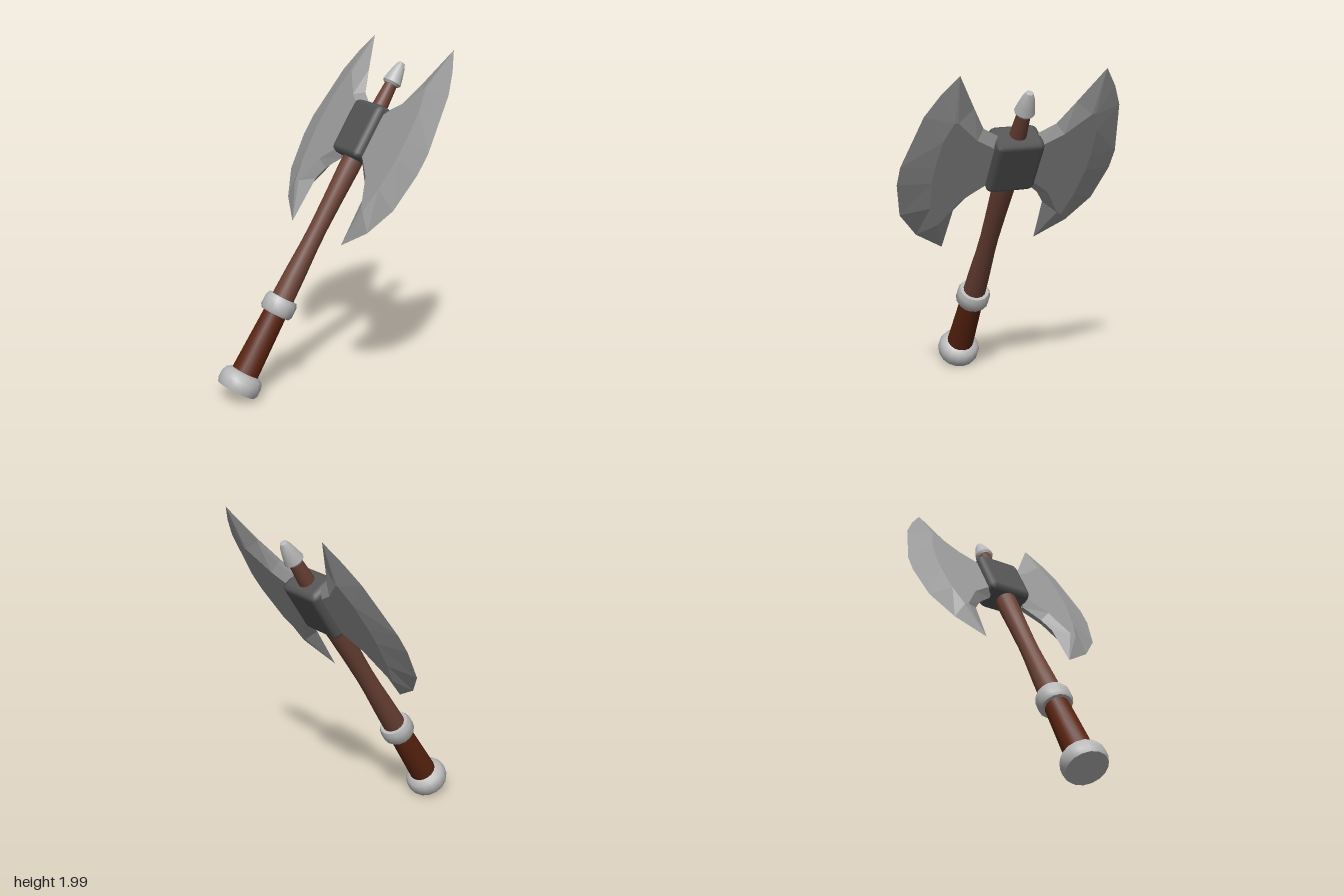
import * as THREE from 'three';
import { toCreasedNormals } from 'three/addons/utils/BufferGeometryUtils.js';
import { RoundedBoxGeometry } from 'three/addons/geometries/RoundedBoxGeometry.js';

const material = (color, flatShading = false) => new THREE.MeshStandardMaterial({ color, flatShading });

// Turned part: profile of [radius, height] from bottom to top
function turned(name, profile, mat) {
  const lathe = new THREE.LatheGeometry(profile.map(([r, h]) => new THREE.Vector2(r, h)), 16);
  const mesh = new THREE.Mesh(toCreasedNormals(lathe, 0.8), mat);
  mesh.name = name;
  return mesh;
}

// Blade stations from lower horn to upper horn, each as [z, height] of
// cutting edge, outer ridge, inner ridge, inner edge
const stations = [
  [[0.286, 1.014], [0.286, 1.014], [0.286, 1.014], [0.286, 1.014]],
  [[0.46, 1.137], [0.39, 1.23], [0.36, 1.25], [0.27, 1.304]],
  [[0.58, 1.304], [0.43, 1.38], [0.26, 1.42], [0.22, 1.385]],
  [[0.63, 1.533], [0.455, 1.57], [0.1, 1.55], [0.12, 1.475]],
  [[0.63, 1.66], [0.455, 1.68], [0.1, 1.76], [0.12, 1.836]],
  [[0.555, 1.998], [0.44, 1.86], [0.25, 1.85], [0.21, 1.892]],
  [[0.49, 2.13], [0.4, 1.98], [0.38, 1.98], [0.29, 2.035]],
  [[0.408, 2.252], [0.408, 2.252], [0.408, 2.252], [0.408, 2.252]],
];

function bladeGeometry() {
  const positions = [];
  const last = stations.length - 1;
  for (const side of [1, -1]) {
    const point = (k, j) => {
      const [z, y] = stations[k][j];
      const ridge = k > 0 && k < last && (j === 1 || j === 2);
      return new THREE.Vector3(ridge ? side * 0.045 : 0, y, z);
    };
    const triangle = (a, b, c) => {
      if (a.equals(b) || b.equals(c) || c.equals(a)) return;
      for (const p of side > 0 ? [a, b, c] : [a, c, b]) positions.push(p.x, p.y, p.z);
    };
    for (let k = 0; k < last; k++) {
      for (let j = 0; j < 3; j++) {
        const a = point(k, j), b = point(k + 1, j), c = point(k + 1, j + 1), d = point(k, j + 1);
        triangle(a, d, c);
        triangle(a, c, b);
      }
    }
  }
  const geometry = new THREE.BufferGeometry();
  geometry.setAttribute('position', new THREE.Float32BufferAttribute(positions, 3));
  geometry.computeVertexNormals();
  return geometry;
}

export function createModel() {
  const model = new THREE.Group();
  model.name = 'doubleAxe';

  // Upright axe, leaned over as a whole
  const axe = new THREE.Group();
  axe.name = 'leaningAxe';
  axe.position.set(-0.535, 0.065, 0);
  axe.rotation.z = -THREE.MathUtils.degToRad(31.2);
  model.add(axe);

  const metal = material(0xb8b8b8);
  const wood = material(0x6b4236);
  const leather = material(0x5a2410);

  // Handle
  axe.add(
    turned('pommel', [[0, 0], [0.118, 0], [0.128, 0.025], [0.128, 0.065], [0.115, 0.095], [0.085, 0.115], [0, 0.115]], metal),
    turned('grip', [[0.083, 0.09], [0.076, 0.3], [0.069, 0.52]], leather),
    turned('collar', [[0.06, 0.492], [0.088, 0.492], [0.1, 0.512], [0.1, 0.572], [0.088, 0.597], [0.06, 0.597]], metal),
    turned('shaft', [[0.069, 0.56], [0.063, 0.75], [0.055, 0.93], [0.053, 1.05], [0.057, 1.25], [0.063, 1.45],
      [0.06, 1.6], [0.049, 1.8], [0.036, 2.0]], wood),
    turned('topSpike', [[0, 1.975], [0.045, 1.975], [0.056, 1.99], [0.047, 2.03], [0.033, 2.085], [0.02, 2.115], [0, 2.122]], metal),
  );

  // Head block
  const block = new THREE.Mesh(new RoundedBoxGeometry(0.185, 0.34, 0.28, 1, 0.035), material(0x555555));
  block.name = 'headBlock';
  block.position.y = 1.66;
  axe.add(block);

  // Two blades on opposite sides of the block
  const blade = bladeGeometry();
  const steel = material(0x999999, true);
  ['frontBlade', 'backBlade'].forEach((name, i) => {
    const mesh = new THREE.Mesh(blade, steel);
    mesh.name = name;
    mesh.rotation.y = i * Math.PI;
    axe.add(mesh);
  });
  return model;
}
